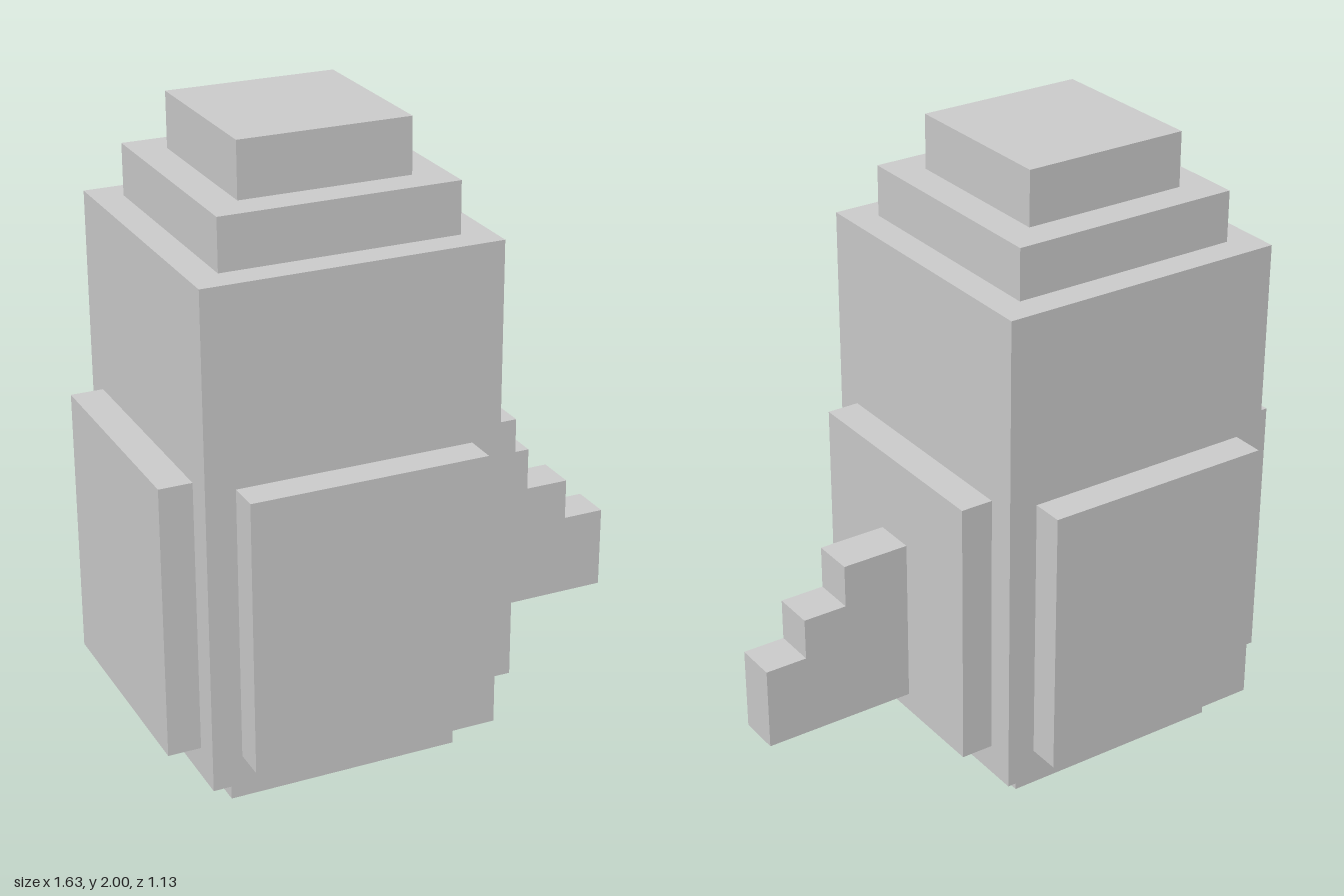
import * as THREE from 'three';

export function createModel() {
  const model = new THREE.Group();
  model.name = 'steppedBlockTower';
  const grey = new THREE.MeshStandardMaterial({ color: 0xcccccc });
  grey.name = 'light grey';

  const axisX = -0.25; // the tower stands off centre, balanced by the side fin

  function add(name, geometry, x, y, z) {
    const mesh = new THREE.Mesh(geometry, grey);
    mesh.name = name;
    mesh.position.set(x, y, z);
    model.add(mesh);
    return mesh;
  }

  // Stacked square tiers: name, width, bottom, top
  const tiers = [
    ['base', 0.74, 0, 0.105],
    ['body', 0.925, 0.105, 1.667],
    ['shoulder', 0.74, 1.667, 1.828],
    ['cap', 0.533, 1.828, 2],
  ];
  for (const [name, w, y0, y1] of tiers) {
    add(name, new THREE.BoxGeometry(w, y1 - y0, w), axisX, (y0 + y1) / 2, 0);
  }

  // Raised panel on each of the four sides
  const panel = new THREE.BoxGeometry(0.74, 0.86, 0.103);
  ['frontPanel', 'leftPanel', 'backPanel', 'rightPanel'].forEach((name, i) => {
    const a = (i * Math.PI) / 2;
    const r = 0.514;
    const mesh = add(name, panel, axisX + Math.sin(a) * r, 0.63, Math.cos(a) * r);
    mesh.rotation.y = a;
  });

  // Stair-stepped fin on the left side
  const outline = [
    [0.315, 0.26], [0.81, 0.26], [0.81, 0.525], [0.675, 0.525],
    [0.675, 0.658], [0.533, 0.658], [0.533, 0.795], [0.315, 0.795],
  ].map(([x, y]) => new THREE.Vector2(x, y));
  const depth = 0.135;
  const fin = new THREE.ExtrudeGeometry(new THREE.Shape(outline), { depth, bevelEnabled: false });
  add('steppedFin', fin, 0, 0, -depth / 2);

  return model;
}
